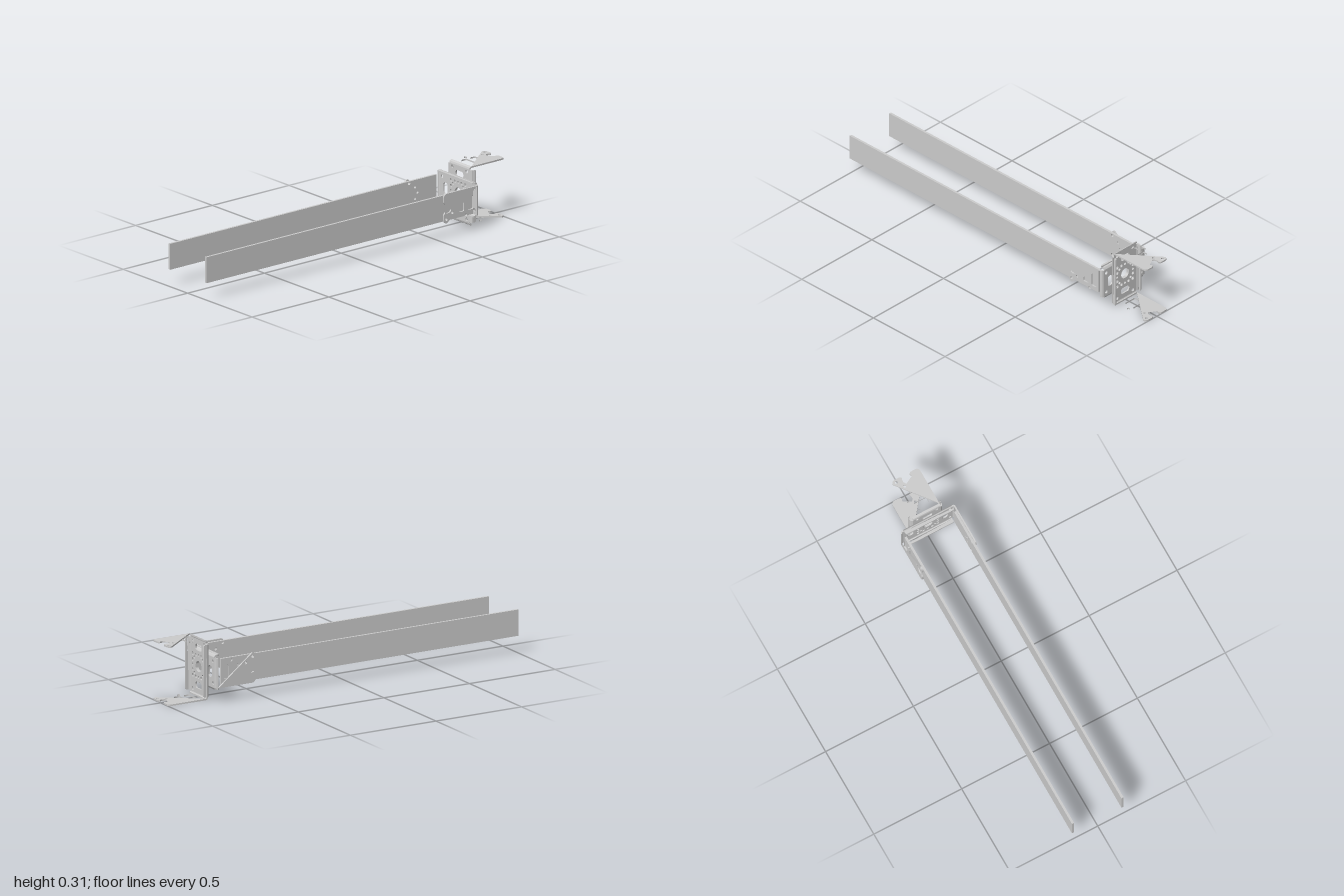
import * as THREE from 'three';
import { toCreasedNormals } from 'three/addons/utils/BufferGeometryUtils.js';

const T = 0.008;   // sheet thickness
const R = 0.014;   // outer bend radius
const H = 0.155;   // half height over the arms
const W = 0.092;   // half width over the flanges
const ARM = 0.078; // half width of an arm
const MID = 0.155; // height of the centre line

const material = new THREE.MeshStandardMaterial({ color: 0xcccccc });

function extrude(shape, depth) {
  const g = new THREE.ExtrudeGeometry(shape, { depth, bevelEnabled: false, curveSegments: 10 });
  return toCreasedNormals(g, 0.7);
}

function mesh(name, geometry) {
  const m = new THREE.Mesh(geometry, material);
  m.name = name;
  return m;
}

function roundRect(path, cx, cy, hx, hy, r) {
  path.moveTo(cx + hx, cy - hy + r);
  path.absarc(cx + hx - r, cy + hy - r, r, 0, Math.PI / 2);
  path.absarc(cx - hx + r, cy + hy - r, r, Math.PI / 2, Math.PI);
  path.absarc(cx - hx + r, cy - hy + r, r, Math.PI, Math.PI * 1.5);
  path.absarc(cx + hx - r, cy - hy + r, r, Math.PI * 1.5, Math.PI * 2);
  path.closePath();
  return path;
}

function addHole(shape, x, y, r) {
  shape.holes.push(new THREE.Path().absarc(x, y, r, 0, Math.PI * 2, true));
}

function addSlot(shape, x, y, hx, hy, r) {
  shape.holes.push(roundRect(new THREE.Path(), x, y, hx, hy, r));
}

// Web: flat plate with bore, hole square, slots and corner holes
function webGeometry() {
  const s = new THREE.Shape();
  roundRect(s, 0, 0, W - R, H - R, 0.001);
  addHole(s, 0, 0, 0.028);
  for (const a of [-1, 1]) {
    addSlot(s, 0, a * 0.098, 0.03, 0.0165, 0.013);
    addHole(s, 0, a * 0.056, 0.007);
    addHole(s, a * 0.056, 0, 0.007);
    for (const b of [-1, 1]) {
      addHole(s, a * 0.056, b * 0.125, 0.009);
      addHole(s, a * 0.055, b * 0.056, 0.009);
      addHole(s, a * 0.025, b * 0.056, 0.0085);
      addHole(s, a * 0.056, b * 0.025, 0.0085);
      addHole(s, a * 0.04, b * 0.04, 0.0075);
    }
  }
  return extrude(s, T).rotateY(Math.PI / 2);
}

// Holes near the arm tip, shared by the arms and the rails
function tipHoles(shape, place) {
  const spots = [[0.16, 0, 0.007], [0.175, 0.03, 0.007], [0.175, -0.03, 0.007],
    [0.214, 0.057, 0.008], [0.214, -0.057, 0.008]];
  for (const [d, w, r] of spots) addHole(shape, place(d), w, r);
}

// Arm: plate with a round notch between two lobes at the tip
function armShape() {
  const s = new THREE.Shape();
  const tip = 0.23, c = 0.018, open = 0.9;
  s.moveTo(R, -ARM);
  s.absarc(tip - c, -ARM + c, c, -Math.PI / 2, 0);
  s.lineTo(tip, -0.036);
  s.quadraticCurveTo(tip, -0.028, 0.205 + 0.026 * Math.cos(open), -0.026 * Math.sin(open));
  s.absarc(0.205, 0, 0.026, -open, open, true);
  s.quadraticCurveTo(tip, 0.028, tip, 0.036);
  s.absarc(tip - c, ARM - c, c, 0, Math.PI / 2);
  s.lineTo(R, ARM);
  s.closePath();
  for (const d of [0.058, 0.115]) addSlot(s, d, 0, 0.016, 0.036, 0.006);
  for (const k of [-1, 1]) addHole(s, 0.088, k * 0.058, 0.007);
  tipHoles(s, d => d);
  return s;
}

// Flange: narrow lip with rounded outer corners
function flangeShape(half) {
  const s = new THREE.Shape();
  const end = 0.032, c = 0.01;
  s.moveTo(R, -half);
  s.absarc(end - c, -half + c, c, -Math.PI / 2, 0);
  s.absarc(end - c, half - c, c, 0, Math.PI / 2);
  s.lineTo(R, half);
  s.closePath();
  return s;
}

// A plate at distance `offset` from the axis, joined to the web by a quarter bend
function fold(name, shape, half, offset) {
  const g = new THREE.Group();
  g.name = name;
  g.add(mesh(name + 'Plate', extrude(shape, T).rotateX(Math.PI / 2).translate(0, offset, 0)));
  const bend = new THREE.Shape();
  bend.absarc(R, offset - R, R, Math.PI / 2, Math.PI);
  bend.absarc(R, offset - R, R - T, Math.PI, Math.PI / 2, true);
  bend.closePath();
  g.add(mesh(name + 'Bend', extrude(bend, 2 * half).translate(0, 0, -half)));
  return g;
}

// U bracket: web at x = 0, arms towards +x
function bracket(name) {
  const g = new THREE.Group();
  g.name = name;
  g.add(mesh('web', webGeometry()));
  for (const k of [0, 1]) {
    const arm = fold('arm', armShape(), ARM, H);
    arm.rotation.x = k * Math.PI;
    const flange = fold('flange', flangeShape(0.137), 0.137, W);
    flange.rotation.x = Math.PI / 2 + k * Math.PI;
    g.add(arm, flange);
  }
  return g;
}

export function createModel() {
  const model = new THREE.Group();
  model.name = 'bracketAndRails';
  const joint = 0.77;

  // Outer bracket with upper and lower arms
  const outer = bracket('outerBracket');
  outer.position.set(joint, MID, 0);
  model.add(outer);

  // Inner bracket, back to back and a quarter turn round
  const inner = bracket('innerBracket');
  inner.position.set(joint, MID, 0);
  inner.quaternion.setFromAxisAngle(new THREE.Vector3(0, 1, 1).normalize(), Math.PI);
  model.add(inner);

  // Long flat rails held inside the inner bracket's arms
  const rail = new THREE.Shape();
  const h = 0.068, end = 0.735;
  rail.moveTo(-1, -h);
  rail.lineTo(end, -h);
  rail.lineTo(end, h);
  rail.lineTo(-1, h);
  rail.closePath();
  tipHoles(rail, d => joint - d);
  const thick = 0.012;
  for (const z of [H - T - thick, -(H - T)]) {
    const m = mesh(z > 0 ? 'frontRail' : 'backRail', extrude(rail, thick));
    m.position.set(0, MID + 0.002, z);
    model.add(m);
  }
  return model;
}
